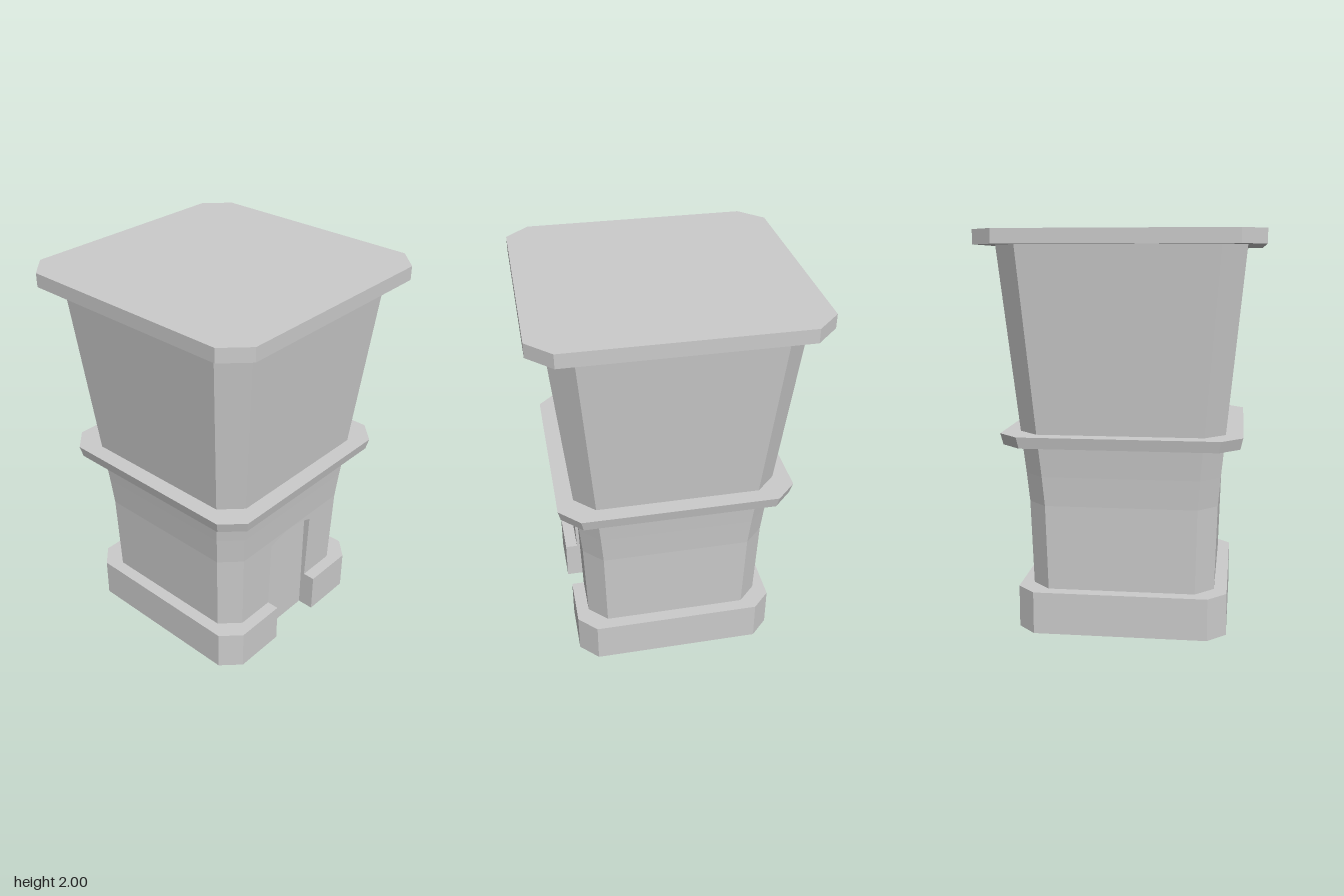
import * as THREE from 'three';

const material = new THREE.MeshStandardMaterial({
  color: 0xcccccc, flatShading: true, side: THREE.DoubleSide,
});

const BASE_TOP = 0.215, BASE_HALF = 0.528, BASE_FLAT = 0.436;
const KINK = 0.65, DOOR_Z = 0.44, SPRING = 0.61;
// body rings: [y, half width, half length of the straight side]
const FOOT = [BASE_TOP, 0.463, 0.37], WAIST = [KINK, 0.476, 0.38];

const v = (x, y, z) => new THREE.Vector3(x, y, z);

// Square with cut corners; the first edge is the front one
function ring([y, h, f]) {
  return [[-f, h], [f, h], [h, f], [h, -f], [f, -h], [-f, -h], [-h, -f], [-h, f], [-f, h]]
    .map(([x, z]) => v(x, y, z));
}

// Quads between two rows of points
function strip(a, b) {
  const points = [];
  for (let i = 0; i < a.length - 1; i++) {
    points.push(a[i], a[i + 1], b[i + 1], a[i], b[i + 1], b[i]);
  }
  const geometry = new THREE.BufferGeometry().setFromPoints(points);
  geometry.computeVertexNormals();
  return geometry;
}

// Height of the body's front surface in depth, between foot and waist
const bodyZ = (y) => FOOT[1] + (WAIST[1] - FOOT[1]) * (y - BASE_TOP) / (KINK - BASE_TOP);
const doorX = (y) => 0.156 + 0.008 * y;

// Shallow arch, left to right
function archPoints() {
  const w = doorX(SPRING), n = 10;
  return Array.from({ length: n + 1 }, (_, i) => {
    const t = -1 + 2 * i / n;
    return new THREE.Vector2(w * t, SPRING + 0.035 * (1 - t * t));
  });
}

export function createModel() {
  const model = new THREE.Group();
  const add = (name, geometry, parent = model) => {
    const mesh = new THREE.Mesh(geometry, material);
    mesh.name = name;
    parent.add(mesh);
    return mesh;
  };
  const loft = (name, rings, parent, openFront = false) => {
    for (let i = 0; i < rings.length - 1; i++) {
      const [a, b] = [rings[i], rings[i + 1]].map((r) => ring(r).slice(openFront ? 1 : 0));
      add(name, strip(a, b), parent);
    }
  };
  const part = (name) => {
    const group = new THREE.Group();
    group.name = name;
    model.add(group);
    return group;
  };

  // Hollow plinth with a gap in front for the door
  const plinth = part('plinth');
  loft('plinthWall', [[0, BASE_HALF, BASE_FLAT], [BASE_TOP, BASE_HALF, BASE_FLAT], FOOT], plinth, true);
  for (const s of [-1, 1]) {
    const rows = [
      [v(s * doorX(0), 0, BASE_HALF), v(s * BASE_FLAT, 0, BASE_HALF)],
      [v(s * doorX(BASE_TOP), BASE_TOP, BASE_HALF), v(s * BASE_FLAT, BASE_TOP, BASE_HALF)],
      [v(s * doorX(BASE_TOP), BASE_TOP, FOOT[1]), v(s * FOOT[2], BASE_TOP, FOOT[1])],
    ];
    if (s < 0) rows.forEach((row) => row.reverse());
    add('plinthFront', strip(rows[0], rows[1]), plinth);
    add('plinthLedge', strip(rows[1], rows[2]), plinth);
  }

  // Flaring body
  const body = part('body');
  loft('lowerWall', [FOOT, WAIST], body, true);
  loft('upperWall', [WAIST, [0.8, 0.489, 0.391], [0.96, 0.505, 0.405], [1.93, 0.6, 0.482]], body);

  // Lower front wall, notched by the arched doorway and leaned to the body's slope
  const arch = archPoints();
  const front = new THREE.Shape([
    new THREE.Vector2(-FOOT[2], BASE_TOP), new THREE.Vector2(-doorX(BASE_TOP), BASE_TOP),
    ...arch,
    new THREE.Vector2(doorX(BASE_TOP), BASE_TOP), new THREE.Vector2(FOOT[2], BASE_TOP),
    new THREE.Vector2(WAIST[2], KINK), new THREE.Vector2(-WAIST[2], KINK),
  ]);
  const frontWall = new THREE.ShapeGeometry(front);
  const pos = frontWall.attributes.position;
  for (let i = 0; i < pos.count; i++) pos.setZ(i, bodyZ(pos.getY(i)));
  frontWall.computeVertexNormals();
  add('frontWall', frontWall, body);

  // Recessed door and its reveal
  const doorway = part('doorway');
  const outline = [new THREE.Vector2(-doorX(0), 0), ...arch, new THREE.Vector2(doorX(0), 0)];
  add('door', new THREE.ShapeGeometry(new THREE.Shape(outline)), doorway).position.z = DOOR_Z;
  const archOuter = arch.map((p) => v(p.x, p.y, bodyZ(p.y)));
  const side = (s) => [
    v(s * doorX(0), 0, BASE_HALF),
    v(s * doorX(BASE_TOP), BASE_TOP, BASE_HALF),
    v(s * doorX(BASE_TOP), BASE_TOP, FOOT[1]),
  ];
  const outer = [...side(-1), ...archOuter, ...side(1).reverse()];
  add('doorReveal', strip(outer, outer.map((p) => v(p.x, p.y, DOOR_Z))), doorway);

  // Band around the middle
  loft('middleBand', [
    [0.96, 0.505, 0.405], [0.96, 0.582, 0.482], [1.017, 0.595, 0.492], [1.017, 0.511, 0.41],
  ], part('band'));

  // Flat roof slab
  const slab = new THREE.Shape(ring([0, 0.687, 0.57]).slice(0, 8).map((p) => new THREE.Vector2(p.x, -p.z)));
  const roof = new THREE.ExtrudeGeometry(slab, { depth: 0.07, bevelEnabled: false });
  roof.rotateX(-Math.PI / 2);
  add('roofSlab', roof).position.y = 1.93;

  return model;
}
